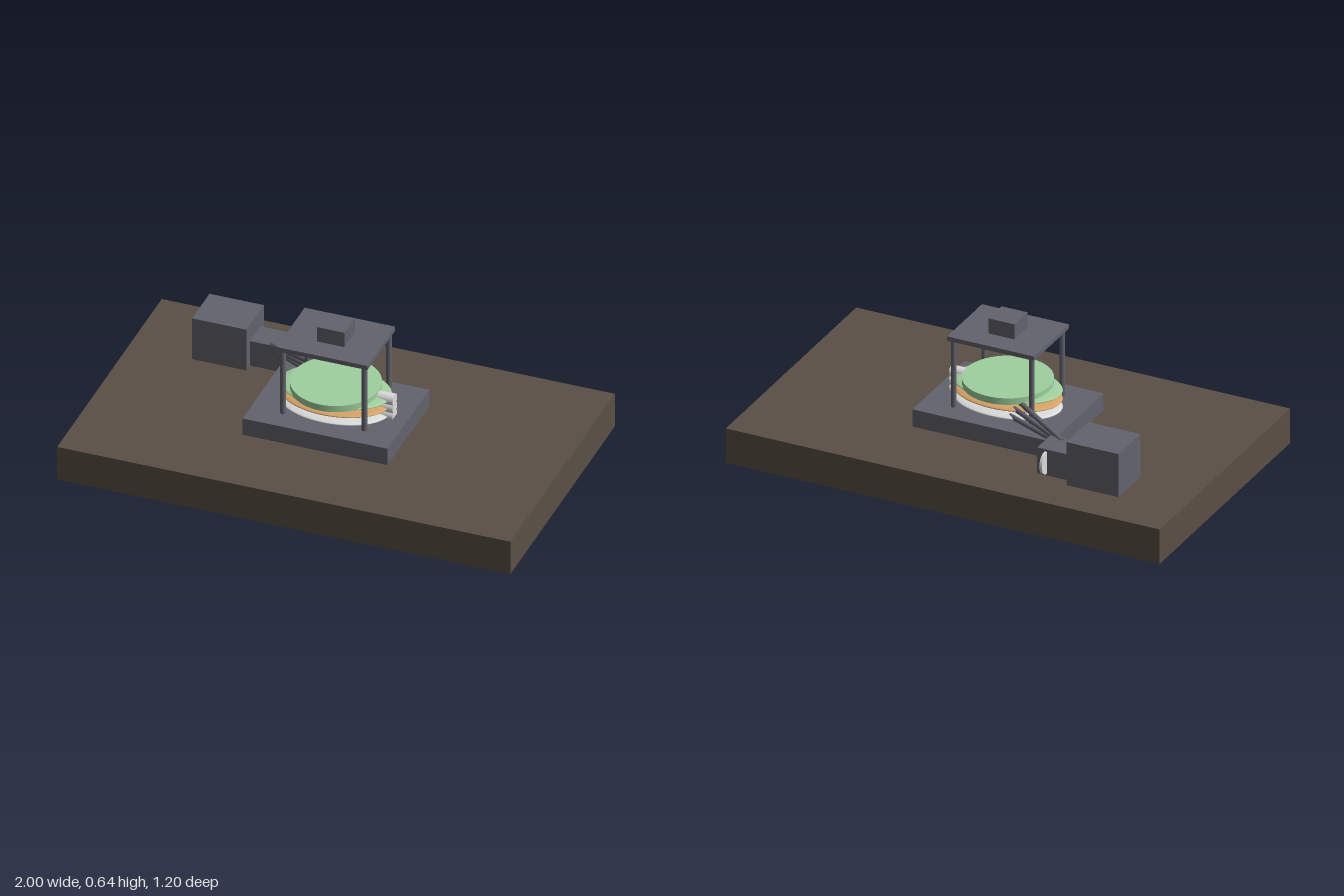
import * as THREE from 'three';

const mat = (name, color) => {
  const m = new THREE.MeshStandardMaterial({ color });
  m.name = name;
  return m;
};

export function createModel() {
  const group = new THREE.Group();
  const brown = mat('brown base', 0x5a4f45);
  const metal = mat('grey metal', 0x62636d);
  const green = mat('pale green', 0xa0d09e);
  const tan = mat('tan', 0xd8a468);
  const white = mat('off white', 0xdcdcdc);

  const add = (name, geometry, material, x, y, z) => {
    const mesh = new THREE.Mesh(geometry, material);
    mesh.name = name;
    mesh.position.set(x, y, z);
    group.add(mesh);
    return mesh;
  };
  // Box given by its centre on the floor plan and its bottom height
  const box = (name, w, h, d, x, y, z, m = metal) =>
    add(name, new THREE.BoxGeometry(w, h, d), m, x, y + h / 2, z);
  // Round rod between two points
  const rod = (name, a, b, r, m) => {
    const dir = b.clone().sub(a);
    const mid = a.clone().add(b).multiplyScalar(0.5);
    const mesh = add(name, new THREE.CylinderGeometry(r, r, dir.length(), 20), m, mid.x, mid.y, mid.z);
    mesh.quaternion.setFromUnitVectors(new THREE.Vector3(0, 1, 0), dir.normalize());
  };
  const v = (x, y, z) => new THREE.Vector3(x, y, z);

  // Slab and raised platform
  box('base', 2, 0.16, 1.2, 0, 0, 0, brown);
  box('platform', 0.64, 0.08, 0.48, 0, 0.16, 0);

  // Frame above the platform
  for (const x of [-0.18, 0.18])
    for (const z of [-0.14, 0.14]) rod('post', v(x, 0.24, z), v(x, 0.55, z), 0.012, metal);
  box('topPlate', 0.4, 0.02, 0.32, 0, 0.55, 0);
  box('topBlock', 0.12, 0.07, 0.12, 0, 0.57, 0);

  // Stack of flattened lenses, each with an end knob and a feed arm
  [[white, 0.246, 0.256], [tan, 0.284, 0.265], [green, 0.322, 0.275]].forEach(([m, y, armY], i) => {
    const lens = add('lens', new THREE.SphereGeometry(1, 48, 20), m, 0, y, 0);
    lens.scale.set(0.24, 0.017, 0.16);
    rod('knob', v(0.19, y, 0), v(0.26, y, 0), 0.026, white);
    rod('feedArm', v(-0.39, armY, -0.275), v(-0.07 - 0.02 * i, y, -0.12), 0.011, metal);
  });
  add('topDisc', new THREE.CylinderGeometry(0.19, 0.19, 0.03, 64), green, 0, 0.338, 0);

  // Drive unit at the back
  box('driveHousing', 0.24, 0.2, 0.2, -0.6, 0.16, -0.32);
  box('gearbox', 0.16, 0.12, 0.12, -0.405, 0.16, -0.32);
  rod('wheel', v(-0.371, 0.22, -0.38), v(-0.359, 0.22, -0.38), 0.05, white);

  return group;
}
